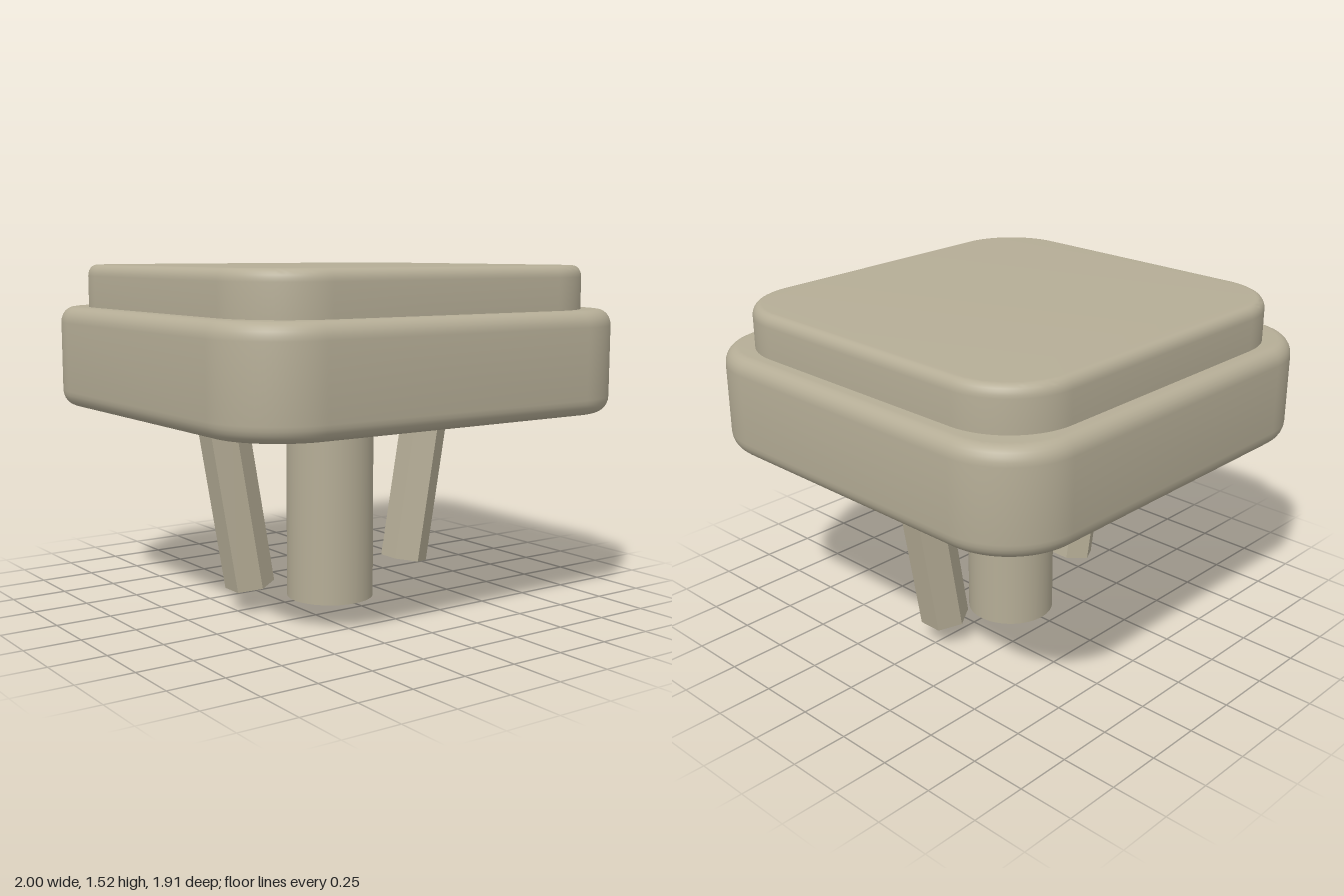
import * as THREE from 'three';
import { toCreasedNormals } from 'three/addons/utils/BufferGeometryUtils.js';

const putty = new THREE.MeshStandardMaterial({ color: 0xb5ad96 });
putty.name = 'putty';

// Rounded slab with softened rims, spanning y0..y1
function slab(name, halfX, halfZ, radius, y0, y1, inset, rim) {
  const x = halfX - inset, z = halfZ - inset, r = radius - inset;
  const shape = new THREE.Shape();
  shape.moveTo(x, -z + r);
  shape.absarc(x - r, z - r, r, 0, Math.PI / 2);
  shape.absarc(-x + r, z - r, r, Math.PI / 2, Math.PI);
  shape.absarc(-x + r, -z + r, r, Math.PI, Math.PI * 1.5);
  shape.absarc(x - r, -z + r, r, Math.PI * 1.5, Math.PI * 2);
  const geometry = new THREE.ExtrudeGeometry(shape, {
    depth: y1 - y0 - 2 * rim, bevelEnabled: true, bevelSize: inset,
    bevelThickness: rim, bevelSegments: 6, curveSegments: 12,
  });
  geometry.rotateX(-Math.PI / 2).translate(0, y0 + rim, 0);
  const mesh = new THREE.Mesh(toCreasedNormals(geometry, 0.7), putty);
  mesh.name = name;
  return mesh;
}

export function createModel() {
  const group = new THREE.Group();
  group.name = 'pushButton';

  // Body and raised cap
  group.add(slab('body', 1, 0.955, 0.33, 0.885, 1.335, 0.06, 0.07));
  group.add(slab('cap', 0.9, 0.862, 0.32, 1.2, 1.525, 0.04, 0.05));

  // Central round post
  const post = new THREE.Mesh(new THREE.CylinderGeometry(0.2, 0.2, 0.92, 32), putty);
  post.name = 'centrePost';
  post.position.y = 0.46;
  group.add(post);

  // Two six-sided pins, leaning outward towards the top
  const tilt = THREE.MathUtils.degToRad(10), length = 0.85;
  const flat = toCreasedNormals(new THREE.CylinderGeometry(0.11, 0.11, length, 6), 0.1);
  flat.translate(0, length / 2, 0);
  for (const side of [1, -1]) {
    const pin = new THREE.Mesh(flat, putty);
    pin.name = side > 0 ? 'leftPin' : 'rightPin';
    pin.position.set(side * 0.436, 0.115, 0);
    pin.rotation.z = -side * tilt;
    group.add(pin);
  }
  return group;
}
